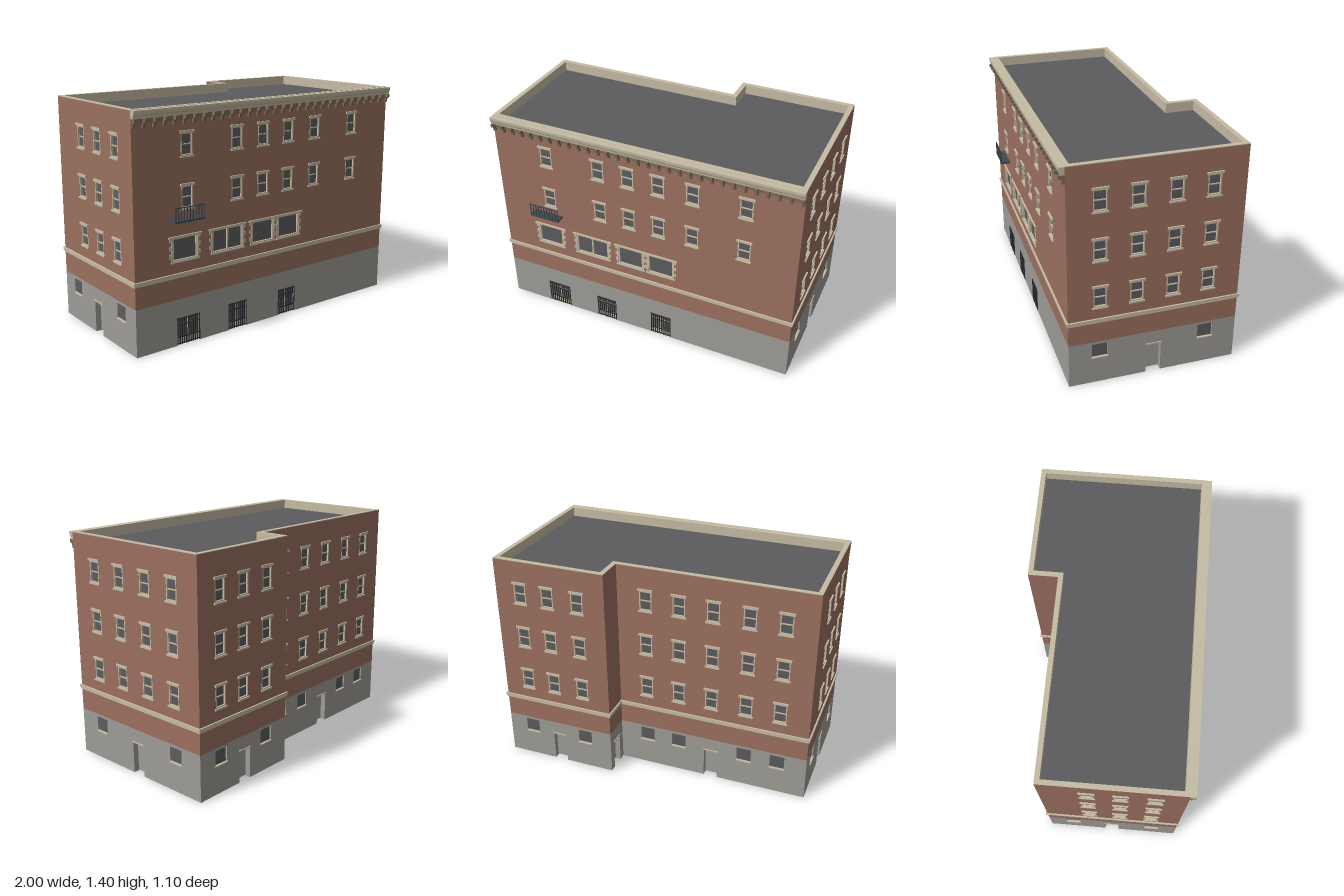
import * as THREE from 'three';

const mat = (name, color, side = THREE.FrontSide) => {
  const m = new THREE.MeshStandardMaterial({ color, side });
  m.name = name;
  return m;
};
const brick = mat('brick', 0x9b705f);
const stone = mat('grey stone', 0x9e9c97);
const cream = mat('cream trim', 0xc6bca4);
const dark = mat('dark grey', 0x5c5c5f);
const taupe = mat('taupe bracket', 0x7d6b55);
const iron = mat('black iron', 0x2b2d30);
const steel = mat('balcony steel', 0x3f4950);

// Footprint limits and main levels
const X0 = -0.99, X1 = 0.985, XS = 0.25, ZF = 0.49, ZM = -0.36, ZB = -0.54;
const BASE = 0.285, TOP = 1.396, T = 0.02;

function add(parent, name, geo, material) {
  const m = new THREE.Mesh(geo, material);
  m.name = name;
  parent.add(m);
  return m;
}
function box(parent, name, material, w, h, d, x, y, z) {
  add(parent, name, new THREE.BoxGeometry(w, h, d), material).position.set(x, y, z);
}
const rectPath = (x0, y0, x1, y1) => new THREE.Path([[x0, y0], [x1, y0], [x1, y1], [x0, y1]].map(p => new THREE.Vector2(...p)));
const extrude = (shape, depth) => new THREE.ExtrudeGeometry(shape, { depth, bevelEnabled: false });

// L-shaped footprint moved inwards by d
const outline = d => [
  [X0 + d, ZF - d], [X1 - d, ZF - d], [X1 - d, ZB + d], [XS + d, ZB + d], [XS + d, ZM + d], [X0 + d, ZM + d],
].map(([x, z]) => new THREE.Vector2(x, -z));

// Slab or ring that follows the footprint between two heights
function ring(parent, name, material, outer, inner, y0, y1) {
  const s = new THREE.Shape(outline(outer));
  if (inner !== null) s.holes.push(new THREE.Path(outline(inner)));
  add(parent, name, extrude(s, y1 - y0).rotateX(-Math.PI / 2).translate(0, y0, 0), material);
}

// Rectangular frame around an opening
function frame(parent, x0, y0, x1, y1, t, z0, z1) {
  const s = new THREE.Shape(rectPath(x0, y0, x1, y1).getPoints());
  s.holes.push(rectPath(x0 + t, y0 + t, x1 - t, y1 - t));
  add(parent, 'windowFrame', extrude(s, z1 - z0).translate(0, 0, z0), cream);
}

function pane(parent, o) {
  box(parent, 'windowGlass', dark, o.w, o.h, 0.004, o.u, o.y + o.h / 2, -0.012);
}

// Sash window with lintel, sill and meeting rail
function sashWindow(parent, o) {
  const { u, y, w, h } = o;
  pane(parent, o);
  frame(parent, u - w / 2, y, u + w / 2, y + h, 0.007, -0.014, 0.001);
  box(parent, 'meetingRail', cream, w, 0.006, 0.008, u, y + h / 2, -0.007);
  box(parent, 'lintel', cream, 0.096, 0.014, 0.018, u, y + h + 0.007, 0);
  box(parent, 'sill', cream, 0.094, 0.01, 0.016, u, y - 0.005, 0);
}

// Wide window with toothed stone blocks at both sides
function wideWindow(parent, o) {
  const { u, y, w, h } = o;
  pane(parent, o);
  frame(parent, u - w / 2, y, u + w / 2, y + h, 0.008, -0.014, 0.002);
  if (o.double) box(parent, 'mullion', cream, 0.01, h, 0.012, u, y + h / 2, -0.006);
  box(parent, 'lintel', cream, w + 0.055, 0.01, 0.018, u, y + h + 0.005, 0);
  box(parent, 'sill', cream, w + 0.03, 0.008, 0.014, u, y - 0.004, 0);
  for (const s of [-1, 1]) for (let i = 0; i < 6; i++) {
    const b = i % 2 ? 0.02 : 0.009;
    box(parent, 'quoinBlock', cream, b, h / 6, 0.01, u + s * (w / 2 + b / 2), y + h * (i + 0.5) / 6, 0);
  }
}

function basementWindow(parent, o) {
  pane(parent, o);
  box(parent, 'sill', cream, o.w + 0.006, 0.007, 0.012, o.u, o.y - 0.003, 0);
}

// Recessed door with reveals and a thin lintel
function door(parent, o) {
  const { u, w, h } = o;
  box(parent, 'doorPanel', stone, w + 0.01, h - 0.005, 0.006, u, h / 2 + 0.0025, -0.038);
  for (const s of [-1, 1]) box(parent, 'doorReveal', stone, 0.005, h, 0.02, u + s * (w / 2 + 0.0025), h / 2, -0.029);
  box(parent, 'doorHead', stone, w + 0.01, 0.005, 0.02, u, h + 0.0025, -0.029);
  box(parent, 'doorLintel', cream, w + 0.01, 0.007, 0.01, u, h + 0.0035, 0);
}

// Street opening with glazing behind iron bars
function barredDoor(parent, o) {
  const { u, w, h } = o;
  box(parent, 'lowerPanel', cream, w, 0.045, 0.005, u, 0.0225, -0.014);
  box(parent, 'doorGlass', dark, w, h - 0.045, 0.005, u, (h + 0.045) / 2, -0.014);
  box(parent, 'doorMullion', cream, 0.01, h, 0.006, u, h / 2, -0.01);
  box(parent, 'doorRail', cream, w, 0.006, 0.006, u, h * 0.72, -0.01);
  const n = Math.round(w / 0.0155);
  for (let i = 0; i <= n; i++) box(parent, 'ironBar', iron, 0.005, h - 0.005, 0.005, u + w * (i / n - 0.5), h / 2 + 0.003, 0.001);
  for (const y of [0.012, h * 0.3, h * 0.75, h - 0.006]) box(parent, 'ironRail', iron, w, 0.005, 0.005, u, y, 0.001);
}

const builders = { sashWindow, wideWindow, basementWindow, door, barredDoor };

// One wall: stone base and brick above, with openings; u runs along the wall
function facade(root, name, u0, u1, x, z, turn, openings) {
  const g = new THREE.Group();
  g.name = name;
  g.position.set(x, 0, z);
  g.rotation.y = turn;
  root.add(g);
  const base = new THREE.Shape(), upper = new THREE.Shape(rectPath(u0, BASE, u1, TOP).getPoints());
  base.moveTo(u0, 0);
  const isDoor = o => o.y === 0;
  for (const { u, w, h } of openings.filter(isDoor).sort((a, b) => a.u - b.u)) {
    base.lineTo(u - w / 2, 0).lineTo(u - w / 2, h).lineTo(u + w / 2, h).lineTo(u + w / 2, 0);
  }
  base.lineTo(u1, 0).lineTo(u1, BASE).lineTo(u0, BASE).closePath();
  for (const o of openings) {
    if (!isDoor(o)) (o.y < BASE ? base : upper).holes.push(rectPath(o.u - o.w / 2, o.y, o.u + o.w / 2, o.y + o.h));
    builders[o.type](g, o);
  }
  add(g, 'stoneBase', extrude(base, T).translate(0, 0, -T), stone);
  add(g, 'brickWall', extrude(upper, T).translate(0, 0, -T), brick);
  return g;
}

const sashes = (us, ys) => us.flatMap(u => ys.map(y => ({ type: 'sashWindow', u, y, w: 0.08, h: 0.128 })));
const cellar = us => us.map(u => ({ type: 'basementWindow', u, y: 0.178, w: 0.093, h: 0.09 }));
const doorAt = u => ({ type: 'door', u, y: 0, w: 0.09, h: 0.197 });
const ROWS = [0.52, 0.82, 1.12];

export function createModel() {
  const root = new THREE.Group();
  root.name = 'cornerBuilding';
  const P = Math.PI;

  const front = facade(root, 'frontWall', X0, X1, 0, ZF, 0, [
    ...sashes([-0.636, -0.281, -0.083, 0.115, 0.334, 0.66], ROWS.slice(1)),
    ...[[-0.655, 0.172], [-0.35, 0.224, true], [-0.079, 0.17], [0.128, 0.17]].map(([u, w, double]) => ({ type: 'wideWindow', u, y: 0.516, w, h: 0.14, double })),
    ...[[-0.636, 0.155], [-0.273, 0.134], [0.123, 0.134]].map(([u, w]) => ({ type: 'barredDoor', u, y: 0, w, h: 0.17 })),
  ]);
  facade(root, 'rightSideWall', -ZF, -ZB, X1, 0, P / 2,
    [...sashes([-0.302, -0.087, 0.13, 0.346], ROWS), ...cellar([-0.304, 0.346]), doorAt(0.025)]);
  facade(root, 'leftSideWall', ZM, ZF, X0, 0, -P / 2,
    [...sashes([-0.08, 0.112, 0.31], ROWS), ...cellar([-0.2, 0.33]), doorAt(0.06)]);
  facade(root, 'rearWingWall', -X1, -XS, 0, ZB, P,
    [...sashes([-0.818, -0.632, -0.432], ROWS), ...cellar([-0.818, -0.432]), doorAt(-0.62)]);
  facade(root, 'rearStepWall', ZB, ZM, XS, 0, -P / 2, [doorAt(-0.45)]);
  facade(root, 'rearMainWall', -XS, -X0, 0, ZM, P,
    [...sashes([-0.064, 0.151, 0.366, 0.589, 0.804], ROWS), ...cellar([-0.064, 0.151, 0.589, 0.804]), doorAt(0.37)]);

  // Roof, parapet, belt course and inner lining
  ring(root, 'roof', dark, T, null, 1.332, 1.34);
  ring(root, 'parapetLining', cream, T, 0.03, 1.34, TOP);
  ring(root, 'parapetCap', cream, 0, 0.03, TOP, 1.4);
  ring(root, 'beltCourse', cream, -0.006, 0, 0.417, 0.43);
  ring(root, 'beltCourseTop', cream, -0.01, 0, 0.43, 0.445);
  ring(root, 'innerLining', stone, T, T + 0.004, 0.21, 1.332);

  // Front cornice: stepped moulding over a band of brackets
  const profile = (pts, len) => extrude(new THREE.Shape(pts.map(p => new THREE.Vector2(...p))), len).rotateY(-P / 2).translate(len / 2, 0, 0);
  const cornice = add(front, 'cornice', profile([[0, 1.352], [0.022, 1.352], [0.024, 1.365], [0.03, 1.372], [0.033, 1.386], [0.033, 1.398], [0, 1.398]], X1 - X0), cream);
  cornice.position.x = (X0 + X1) / 2;
  box(front, 'bracketBand', taupe, X1 - X0, 0.03, 0.008, (X0 + X1) / 2, 1.338, 0.004);
  const bracketGeo = profile([[0, 1.3], [0.012, 1.3], [0.016, 1.325], [0.034, 1.333], [0.034, 1.353], [0, 1.353]], 0.017);
  const n = 31;
  for (let i = 0; i < n; i++) {
    add(front, 'bracket', bracketGeo, taupe).position.x = X0 + 0.011 + (X1 - X0 - 0.022) * i / (n - 1);
  }

  // Balcony with a front railing
  const balcony = new THREE.Group();
  balcony.name = 'balcony';
  balcony.position.set(-0.656, 0, ZF);
  root.add(balcony);
  box(balcony, 'balconyFloor', steel, 0.2, 0.011, 0.06, 0, 0.76, 0.03);
  box(balcony, 'topRail', steel, 0.2, 0.006, 0.005, 0, 0.842, 0.057);
  for (let i = 0; i <= 10; i++) box(balcony, 'baluster', steel, 0.005, 0.08, 0.005, -0.0975 + 0.0195 * i, 0.803, 0.057);

  return root;
}
